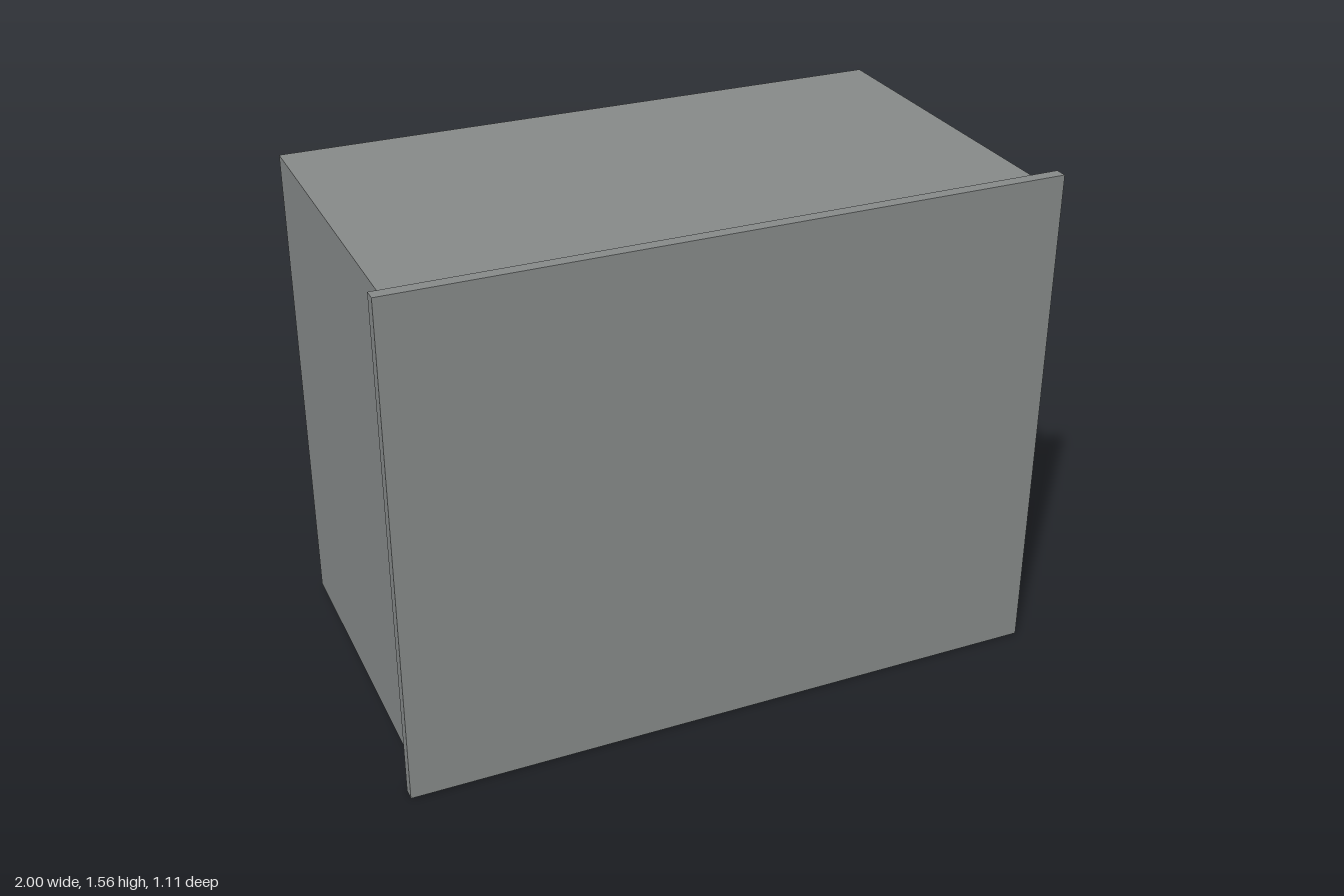
import * as THREE from 'three';

export function createModel() {
  const model = new THREE.Group();
  model.name = 'cabinetUnit';

  const grey = new THREE.MeshStandardMaterial({ color: 0x868a89 });
  grey.name = 'metal grey';

  // Box given by its min and max corners
  function addBox(name, [x0, y0, z0], [x1, y1, z1]) {
    const mesh = new THREE.Mesh(new THREE.BoxGeometry(x1 - x0, y1 - y0, z1 - z0), grey);
    mesh.name = name;
    mesh.position.set((x0 + x1) / 2, (y0 + y1) / 2, (z0 + z1) / 2);
    model.add(mesh);
  }

  // Main housing and the wider front panel
  addBox('housing', [-0.96, 0.032, -0.555], [0.96, 1.528, 0.518]);
  addBox('frontPanel', [-1, 0, 0.518], [1, 1.56, 0.555]);

  // Row of six low pads under the rear of the housing
  for (let i = 0; i < 6; i++) {
    const x = (i - 2.5) * 0.292;
    addBox(`bottomPad${i + 1}`, [x - 0.048, 0.025, -0.418], [x + 0.048, 0.032, -0.346]);
  }

  return model;
}
